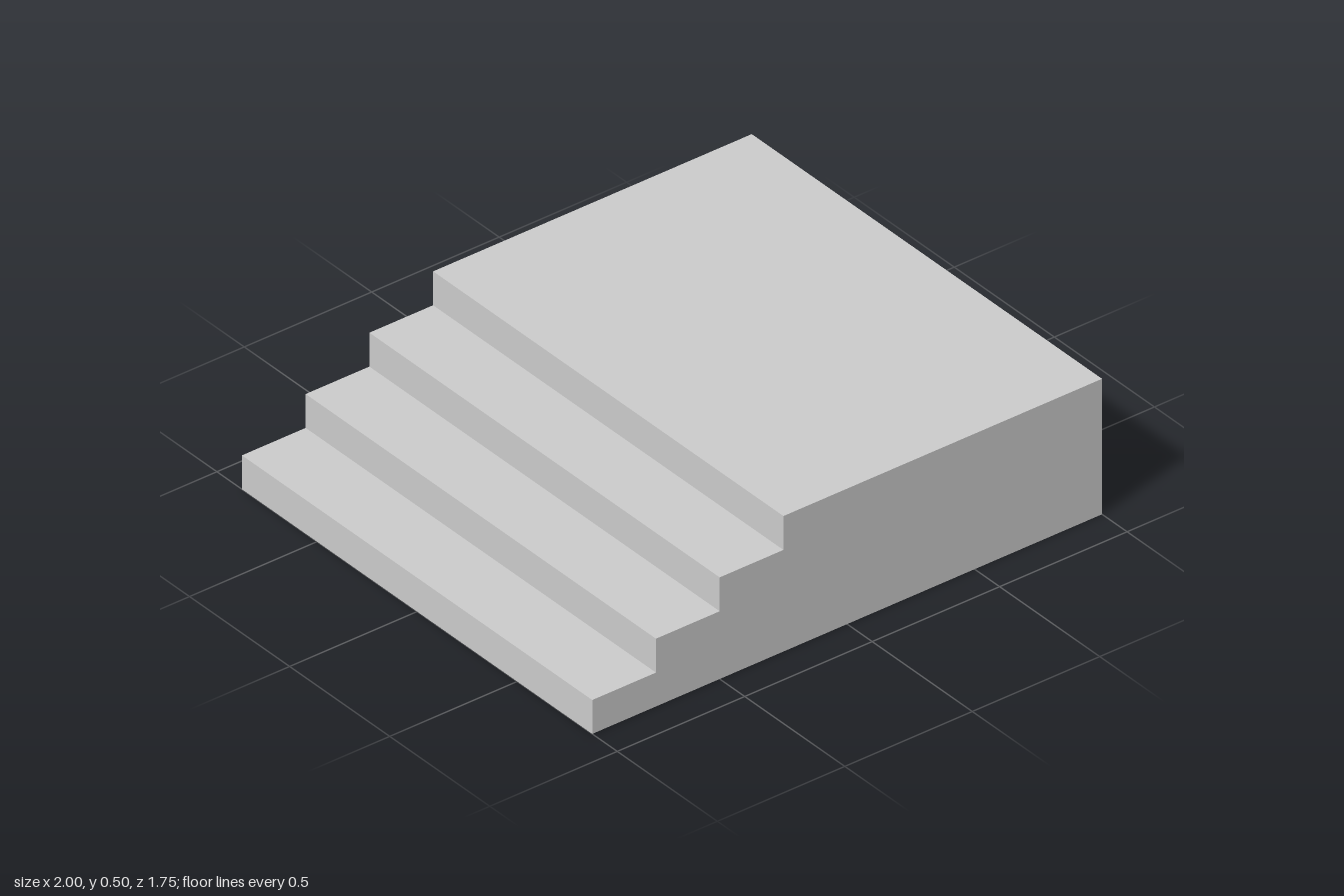
import * as THREE from 'three';

const STEPS = 4;      // three treads plus the platform
const RISE = 0.125;
const TREAD = 0.25;
const DEPTH = 1.75;

export function createModel() {
  const group = new THREE.Group();
  group.name = 'steppedPlatform';

  // Side profile: steps climbing from -x up to the flat platform
  const profile = new THREE.Shape();
  profile.moveTo(-1, 0);
  profile.lineTo(1, 0);
  profile.lineTo(1, STEPS * RISE);
  for (let i = STEPS - 1; i >= 0; i--) {
    const x = -1 + i * TREAD;
    profile.lineTo(x, (i + 1) * RISE);
    if (i > 0) profile.lineTo(x, i * RISE);
  }
  profile.closePath();

  // Solid block of steps and platform, centred front to back
  const geometry = new THREE.ExtrudeGeometry(profile, { depth: DEPTH, bevelEnabled: false });
  geometry.translate(0, 0, -DEPTH / 2);

  const material = new THREE.MeshStandardMaterial({ color: 0xcccccc });
  const block = new THREE.Mesh(geometry, material);
  block.name = 'stepsAndPlatform';
  group.add(block);
  return group;
}
